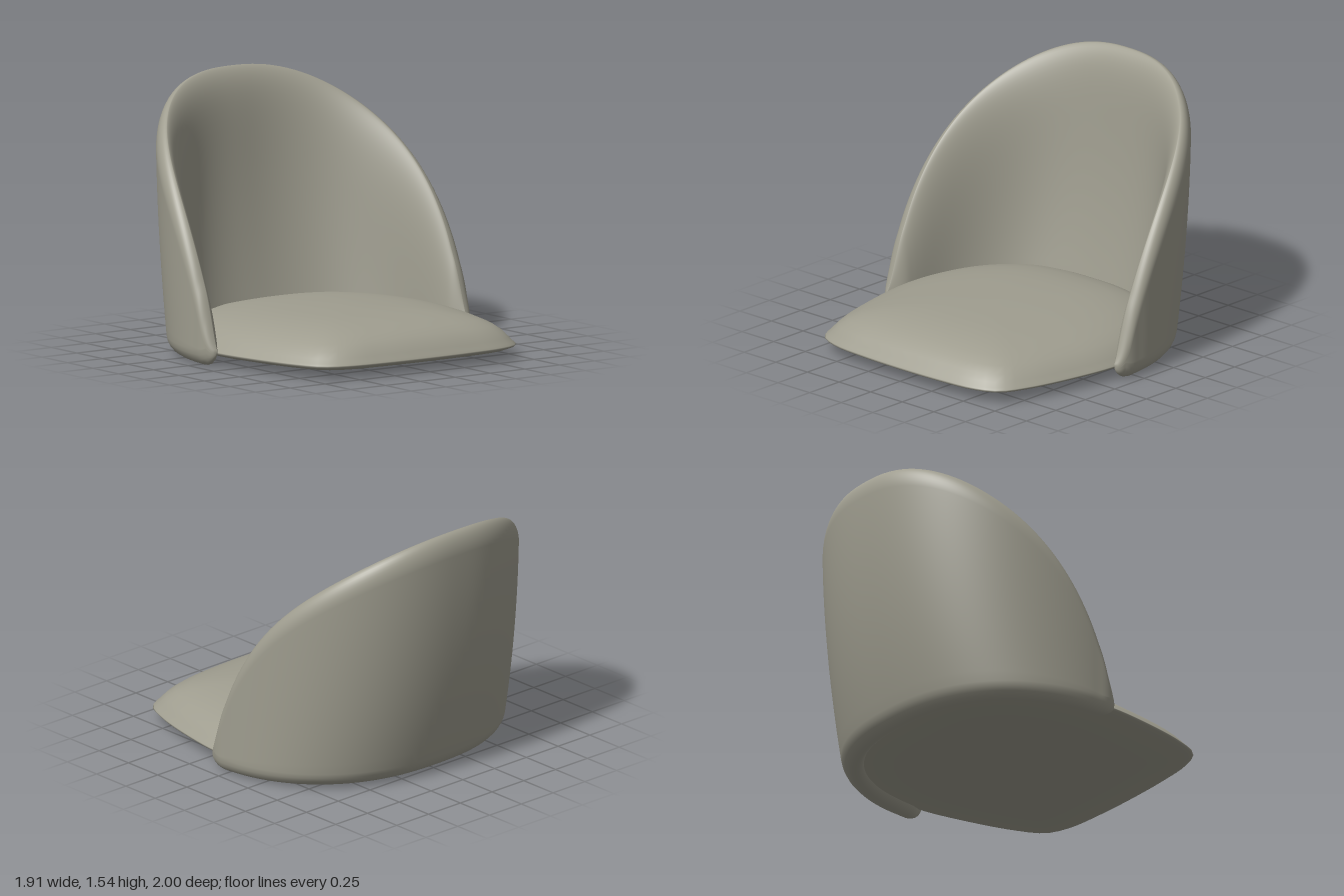
import * as THREE from 'three';

const mix = THREE.MathUtils.lerp;

// Skin a list of closed cross-sections (each an array of Vector3) with smooth normals
function loft(sections) {
  const n = sections[0].length, pos = [], idx = [];
  sections.forEach(s => s.forEach(p => pos.push(p.x, p.y, p.z)));
  for (let i = 0; i < sections.length - 1; i++) {
    for (let j = 0; j < n; j++) {
      const a = i * n + j, d = i * n + (j + 1) % n;
      idx.push(a, a + n, d, a + n, d + n, d);
    }
  }
  const g = new THREE.BufferGeometry();
  g.setAttribute('position', new THREE.Float32BufferAttribute(pos, 3));
  g.setIndex(idx);
  g.computeVertexNormals();
  return g;
}

// Crest of the backrest: rounded horseshoe in plan, falling from the back to the front tips
const BACK = -0.935, TIP = 0.146, HALF_WIDTH = 0.893;
function crestPath() {
  const crest = (x, z) => {
    const d = z - BACK;
    return new THREE.Vector3(x, 1.55 - 0.8 * d - 0.4 * d ** 4.19, z);
  };
  const half = [];
  for (let i = 0; i <= 20; i++) {
    const a = Math.PI / 2 * i / 20;
    half.push(crest(HALF_WIDTH * Math.sin(a) ** 0.833, BACK * Math.cos(a)));
  }
  for (let i = 1; i <= 3; i++) half.push(crest(HALF_WIDTH + 0.002 * i, TIP * i / 3));
  const other = half.slice(1).map(p => new THREE.Vector3(-p.x, p.y, p.z));
  const path = new THREE.CatmullRomCurve3([...half.reverse(), ...other], false, 'centripetal');
  path.arcLengthDivisions = 1000;
  return path;
}

// Wrap-around backrest: upright sections swept along the crest
function backrestGeometry() {
  const path = crestPath();
  const N = 140, WALL = 18, ROUND = 10, OUTER = 0.063, sections = [];
  for (let i = 0; i <= N; i++) {
    const t = i / N;
    const u = mix(t, (1 - Math.cos(Math.PI * t)) / 2, 0.7);
    const c = path.getPointAt(u), tan = path.getTangentAt(u);
    const len = Math.hypot(tan.x, tan.z);
    const ox = -tan.z / len, oz = tan.x / len; // outward direction in plan
    const e = THREE.MathUtils.clamp((TIP - c.z) / 0.12, 0, 1);
    const k = Math.max(0.02, Math.sqrt(1 - (1 - e) ** 2)); // rounds off the front tips
    const toBack = THREE.MathUtils.clamp(c.z / BACK, 0, 1);
    const low = mix(0.094, 0.006 + 0.02 * toBack, k), high = mix(0.1, c.y, k);
    const half = (high - low) / 2;
    const rt = Math.min(0.13, half * 0.9), rb = Math.min(0.09, half * 0.9);
    // The inner face swells away from the thin crest, faster at the back than on the arms
    const swell = mix(0.35, 0.13, toBack);
    const inner = y => -0.097 * (1 - Math.exp(-(high - y) / swell)) ** 0.7;
    const profile = []; // [offset outwards, height]
    for (let j = 0; j < WALL; j++) profile.push([OUTER, mix(low + rb, high - rt, j / WALL)]);
    for (let j = 0; j < ROUND; j++) {
      const a = Math.PI / 2 * j / ROUND;
      profile.push([OUTER * Math.cos(a), high - rt + rt * Math.sin(a)]);
    }
    for (let j = 0; j < WALL + 6; j++) {
      const y = mix(high, low + rb, (j / (WALL + 6)) ** 2);
      profile.push([inner(y), y]);
    }
    const foot = inner(low + rb);
    for (let j = 0; j < ROUND; j++) {
      const a = Math.PI * j / ROUND;
      profile.push([mix(foot, OUTER, (1 - Math.cos(a)) / 2), low + rb - rb * Math.sin(a)]);
    }
    sections.push(profile.map(([offset, y]) => {
      const lean = 0.2 * Math.max(0, 1 - y / 1.4) ** 2; // back tucks in towards the base
      const z = c.z + oz * offset * k;
      return new THREE.Vector3(c.x + ox * offset * k, y, z < 0 ? z * (1 - lean) : z);
    }));
  }
  return loft(sections);
}

// Domed cushion: plan outline scaled through a set of levels
function seatGeometry() {
  const side = [ // x, z from front corner to back corner
    [0.3, 0.992], [0.55, 0.965], [0.69, 0.9], [0.77, 0.74], [0.85, 0.42], [0.89, 0.12],
    [0.87, -0.15], [0.79, -0.39], [0.66, -0.57], [0.47, -0.71], [0.25, -0.765],
  ];
  const outline = [[0, 1], ...side, [0, -0.775], ...side.map(([x, z]) => [-x, z]).reverse()];
  const curve = new THREE.CatmullRomCurve3(
    outline.map(([x, z]) => new THREE.Vector3(x, 0, z)), true, 'centripetal');
  const ring = curve.getSpacedPoints(96).slice(0, 96);
  const levels = [ // scale, height
    [0.001, 0.289], [0.2, 0.288], [0.4, 0.284], [0.55, 0.276], [0.68, 0.26], [0.79, 0.236],
    [0.87, 0.204], [0.925, 0.167], [0.96, 0.13], [0.985, 0.102], [0.998, 0.09], [1, 0.083],
    [0.992, 0.075], [0.95, 0.06], [0.85, 0.043], [0.7, 0.031], [0.5, 0.025], [0.001, 0.023],
  ];
  const cz = 0.15, edge = 0.083;
  return loft(levels.map(([s, y]) => ring.map(p => {
    const x = p.x * s;
    const crown = y > edge ? 1 - 0.2 * x * x : 1; // extra fall towards the sides
    return new THREE.Vector3(x, edge + (y - edge) * crown, cz + (p.z - cz) * s);
  })));
}

export function createModel() {
  const group = new THREE.Group();
  group.name = 'chairShell';
  const upholstery = new THREE.MeshStandardMaterial({ color: 0x9f9d8f });
  upholstery.name = 'greyUpholstery';
  const add = (name, geometry) => {
    const mesh = new THREE.Mesh(geometry, upholstery);
    mesh.name = name;
    group.add(mesh);
  };
  add('backrest', backrestGeometry());
  add('seatCushion', seatGeometry());
  return group;
}
